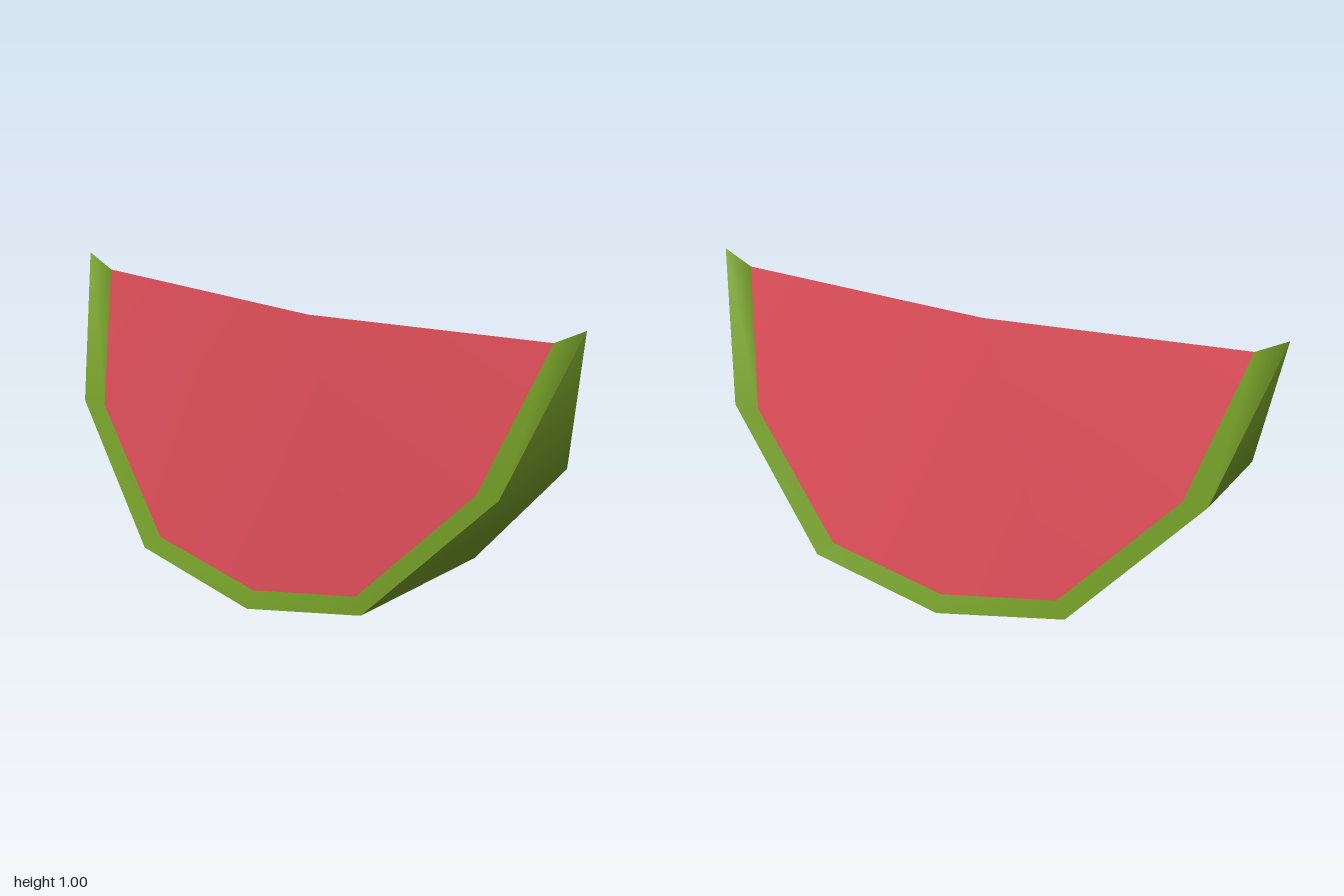
import * as THREE from 'three';

const rindGreen = new THREE.MeshStandardMaterial({ color: 0x739c27 });
rindGreen.name = 'rind green';
const fleshRed = new THREE.MeshStandardMaterial({ color: 0xdf4e59 });
fleshRed.name = 'flesh red';

// Closed ring from half a front edge (tip to bottom centre), mirrored in x and z
function ring(half) {
  const left = half.map(([x, y, z]) => [-x, y, z]);
  const front = [...left, ...half.slice(0, -1).reverse()];
  const back = front.slice(1, -1).reverse().map(([x, y, z]) => [x, y, -z]);
  return [...front, ...back];
}

// Smooth mesh from points and polygons, skipping collapsed triangles
function surface(name, points, polygons, material) {
  const index = [];
  for (const p of polygons) {
    for (let k = 1; k < p.length - 1; k++) {
      if (new Set([p[0], p[k], p[k + 1]]).size === 3) index.push(p[0], p[k], p[k + 1]);
    }
  }
  const geometry = new THREE.BufferGeometry();
  geometry.setAttribute('position', new THREE.Float32BufferAttribute(points.flat(), 3));
  geometry.setIndex(index);
  geometry.computeVertexNormals();
  const mesh = new THREE.Mesh(geometry, material);
  mesh.name = name;
  return mesh;
}

export function createModel() {
  const group = new THREE.Group();
  group.name = 'melonSlice';

  const outer = ring([[1, 1, 0], [0.853, 0.52, 0.19], [0.457, 0.1, 0.31], [0, 0, 0.31]]);
  const inner = ring([[0.897, 0.95, 0], [0.768, 0.515, 0.177], [0.413, 0.14, 0.279], [0, 0.054, 0.279]]);
  const n = outer.length;
  const steps = Array.from({ length: n }, (_, i) => i);
  const across = (i) => (n - i) % n;

  // Outer skin: bands running from the front edge to the back edge
  group.add(surface('outerSkin', outer,
    steps.slice(0, n / 2).map((i) => [i, across(i), across(i + 1), i + 1]), rindGreen));

  // Bevelled rim between skin and flesh
  group.add(surface('rindRim', [...outer, ...inner],
    steps.map((i) => [i, (i + 1) % n, n + (i + 1) % n, n + i]), rindGreen));

  // Two flesh sides fanning down from the middle of the ridge
  for (const [name, start] of [['frontFlesh', 0], ['backFlesh', n / 2]]) {
    const edge = Array.from({ length: n / 2 + 1 }, (_, k) => inner[(start + k) % n]);
    group.add(surface(name, [[0, 0.91, 0], ...edge],
      steps.slice(0, n / 2).map((k) => [0, k + 1, k + 2]), fleshRed));
  }
  return group;
}
